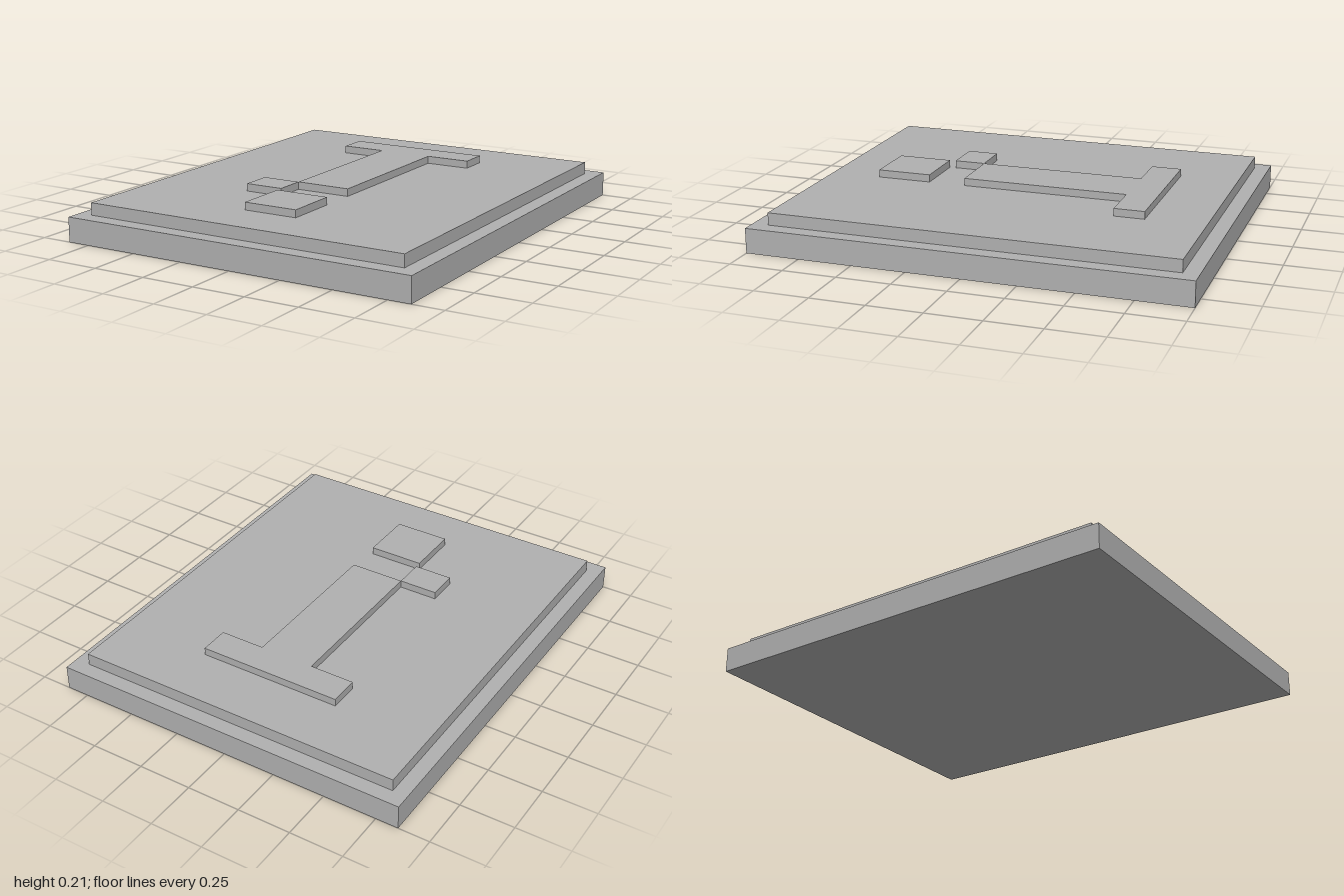
import * as THREE from 'three';

export function createModel() {
  const model = new THREE.Group();
  const grey = new THREE.MeshStandardMaterial({ color: 0xb0b0b0 });
  grey.name = 'grey';

  // Slab spanning x0..x1, z0..z1 between heights y0 and y1
  function slab(name, x0, x1, z0, z1, y0, y1) {
    const mesh = new THREE.Mesh(new THREE.BoxGeometry(x1 - x0, y1 - y0, z1 - z0), grey);
    mesh.name = name;
    mesh.position.set((x0 + x1) / 2, (y0 + y1) / 2, (z0 + z1) / 2);
    model.add(mesh);
  }

  const baseTop = 0.115, panelTop = 0.172, reliefTop = 0.207;

  // Stepped tablet
  slab('base', -0.855, 0.855, -1, 1, 0, baseTop);
  slab('panel', -0.787, 0.783, -0.93, 0.925, baseTop, panelTop);

  // Raised bar and stem in one piece, outline in x and z
  const outline = [
    [-0.343, -0.658], [0.34, -0.658], [0.34, -0.518], [0.128, -0.518],
    [0.128, 0.255], [-0.132, 0.255], [-0.132, -0.518], [-0.343, -0.518],
  ];
  const shape = new THREE.Shape(outline.map(([x, z]) => new THREE.Vector2(x, -z)));
  const geometry = new THREE.ExtrudeGeometry(shape, { depth: reliefTop - panelTop, bevelEnabled: false });
  geometry.rotateX(-Math.PI / 2);
  const stem = new THREE.Mesh(geometry, grey);
  stem.name = 'raisedStem';
  stem.position.y = panelTop;
  model.add(stem);

  // Separate raised blocks toward the front
  slab('raisedSideBlock', -0.316, -0.132, 0.255, 0.4, panelTop, reliefTop);
  slab('raisedFrontBlock', -0.132, 0.128, 0.43, 0.685, panelTop, reliefTop);

  return model;
}
